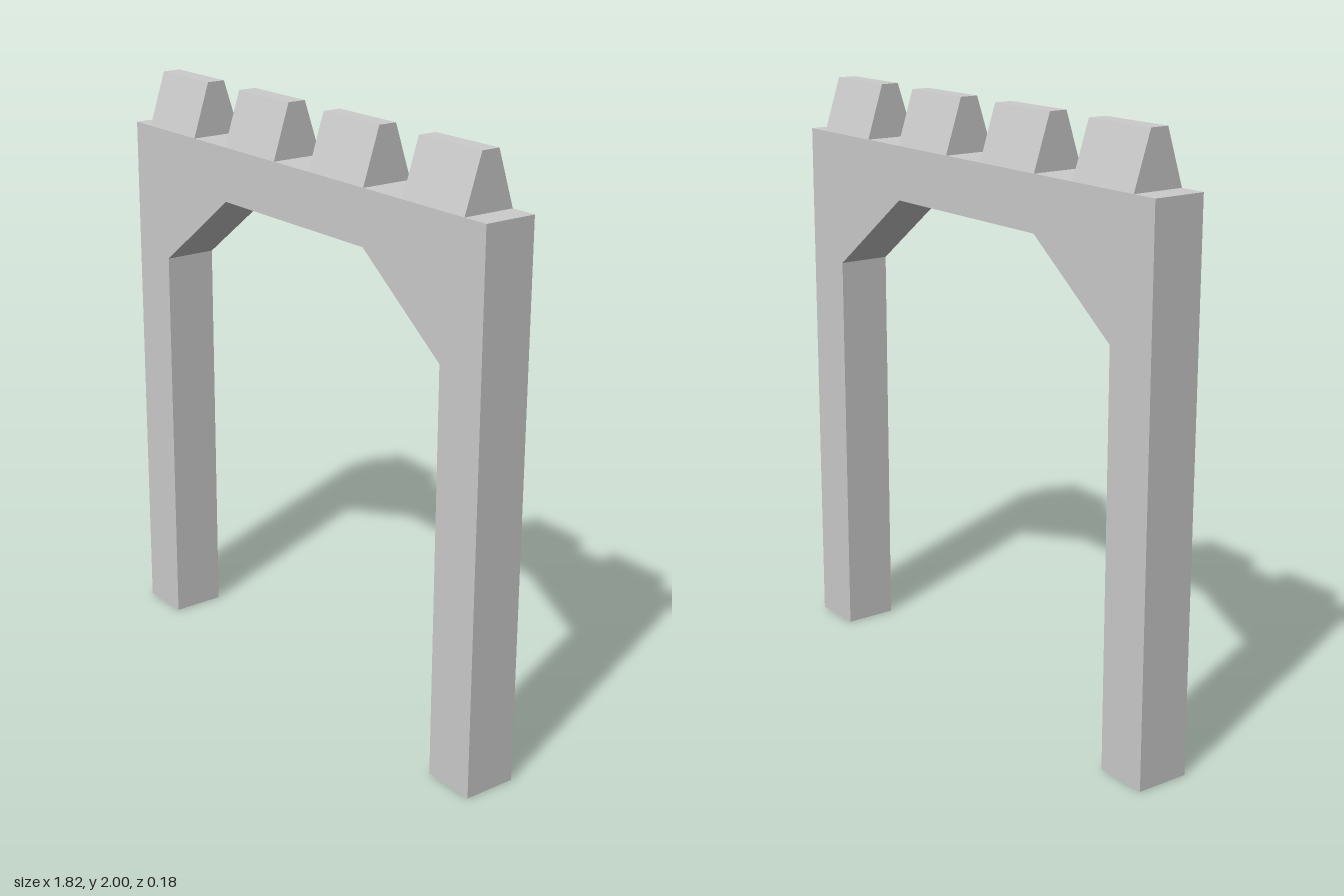
import * as THREE from 'three';

const U = 1 / 11; // building grid unit
const material = new THREE.MeshStandardMaterial({ color: 0xcccccc, flatShading: true });

// Extrudes an outline given in grid units, centred on its depth
function prism(points, depth) {
  const shape = new THREE.Shape(points.map(([x, y]) => new THREE.Vector2(x * U, y * U)));
  const geometry = new THREE.ExtrudeGeometry(shape, { depth: depth * U, bevelEnabled: false });
  return geometry.translate(0, 0, -depth * U / 2);
}

export function createModel() {
  const group = new THREE.Group();
  group.name = 'gateway';

  // Two legs joined by a lintel with chamfered inner corners
  const half = [[4, 18], [8, 15], [8, 0], [10, 0], [10, 20]];
  const mirrored = half.map(([x, y]) => [-x, y]).reverse();
  const arch = new THREE.Mesh(prism([...half, ...mirrored], 2), material);
  arch.name = 'archFrame';
  group.add(arch);

  // Battlements: tapered front to back, straight at the ends
  const merlonGeometry = prism([[-1, 20], [1, 20], [0.35, 22], [-0.35, 22]], 3).rotateY(Math.PI / 2);
  [-7.5, -2.5, 2.5, 7.5].forEach((x, i) => {
    const merlon = new THREE.Mesh(merlonGeometry, material);
    merlon.name = `merlon${i + 1}`;
    merlon.position.x = x * U;
    group.add(merlon);
  });

  return group;
}
